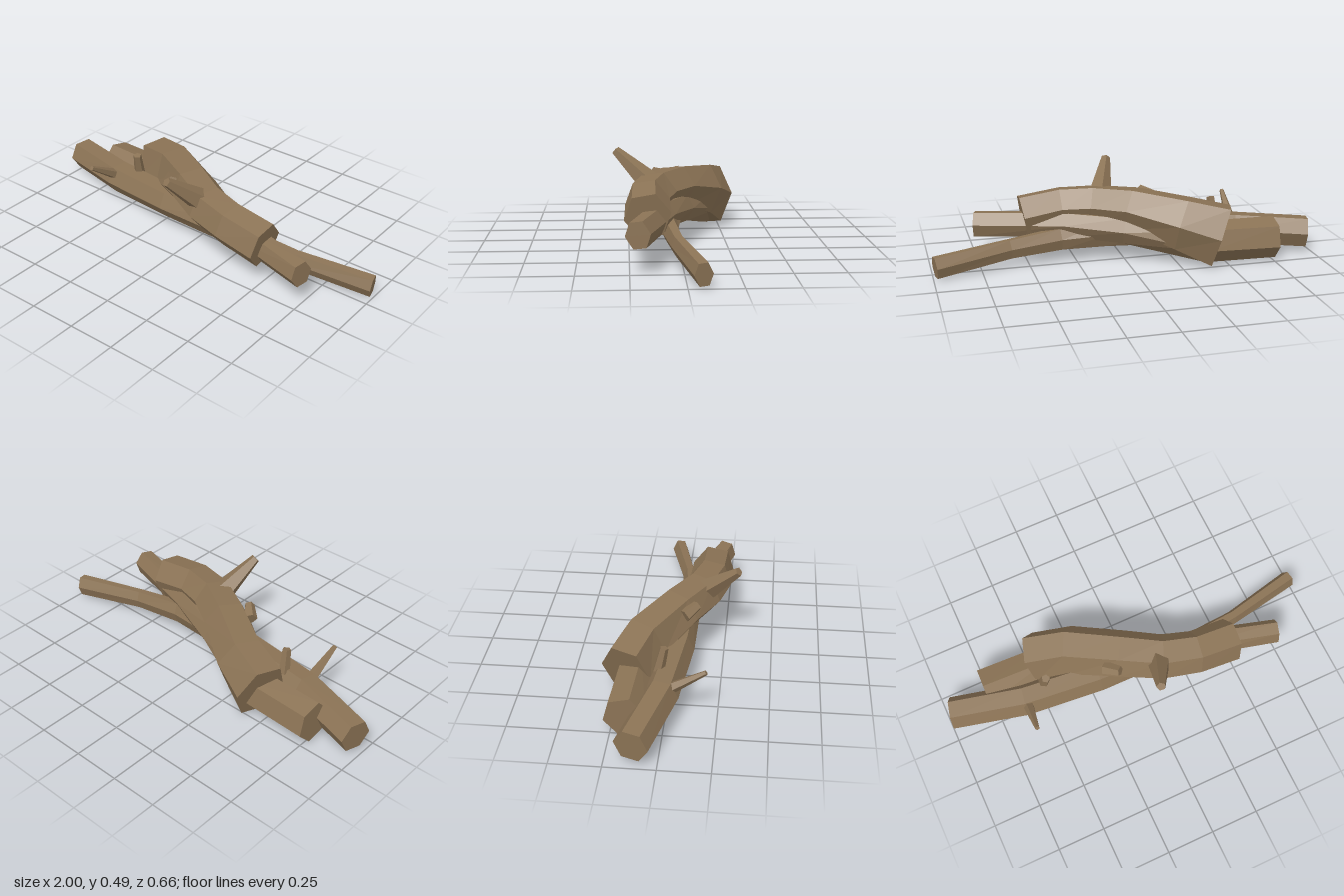
import * as THREE from 'three';

const bark = new THREE.MeshStandardMaterial({ color: 0x8b7355, flatShading: true, roughness: 1 });

// Faceted, capped limb through rings of [x, y, z, halfWidth, halfHeight, roll]
function limb(name, rings, sides = 6) {
  const centres = rings.map(r => new THREE.Vector3(r[0], r[1], r[2]));
  const last = rings.length - 1;
  const points = rings.map(([, , , w, h = w * 0.87, roll = 0], k) => {
    const t = centres[Math.min(k + 1, last)].clone().sub(centres[Math.max(k - 1, 0)]).normalize();
    const side = t.clone().cross(new THREE.Vector3(0, 1, 0)).normalize();
    const up = side.clone().cross(t);
    side.applyAxisAngle(t, roll);
    up.applyAxisAngle(t, roll);
    return Array.from({ length: sides }, (_, i) => {
      const a = (i / sides) * Math.PI * 2;
      return centres[k].clone()
        .addScaledVector(side, Math.cos(a) * w)
        .addScaledVector(up, Math.sin(a) * h / 0.866);
    });
  });
  const tris = [];
  for (let i = 0; i < sides; i++) {
    const j = (i + 1) % sides;
    for (let k = 0; k < last; k++) {
      const [a, b, c, d] = [points[k][i], points[k + 1][i], points[k + 1][j], points[k][j]];
      tris.push(a, b, c, a, c, d);
    }
    tris.push(centres[0], points[0][i], points[0][j]);
    tris.push(centres[last], points[last][j], points[last][i]);
  }
  const geometry = new THREE.BufferGeometry().setFromPoints(tris);
  geometry.computeVertexNormals();
  const mesh = new THREE.Mesh(geometry, bark);
  mesh.name = name;
  return mesh;
}

export function createModel() {
  const group = new THREE.Group();
  group.name = 'logPile';

  // Long thin log lying along the bottom
  group.add(limb('longLog', [
    [-0.975, 0.104, -0.12, 0.085, 0.075, 0.08],
    [-0.6, 0.125, -0.02, 0.086, 0.076, 0.08],
    [-0.2, 0.135, 0.025, 0.084, 0.073, 0.08],
    [0.1, 0.132, 0.045, 0.066, 0.066, 0.08],
    [0.33, 0.118, 0.05, 0.044, 0.056, 0.08],
    [0.6, 0.095, 0.018, 0.036, 0.048, 0.08],
    [0.99, 0.058, -0.07, 0.044, 0.053, 0.08],
  ]));

  // Middle log running diagonally beneath the thick one
  group.add(limb('middleLog', [
    [-0.77, 0.108, -0.176, 0.105, 0.095, -0.25],
    [-0.4, 0.108, -0.163, 0.104, 0.095, -0.22],
    [0, 0.165, -0.02, 0.075, 0.068, 0],
    [0.3, 0.185, 0.085, 0.07, 0.062, 0.1],
    [0.755, 0.182, 0.212, 0.062, 0.062, 0.15],
  ]));

  // Thick bent log resting on top
  group.add(limb('thickLog', [
    [-0.463, 0.15, -0.207, 0.133, 0.155, 0.1],
    [-0.28, 0.21, -0.14, 0.13, 0.131, 0.12],
    [-0.05, 0.264, 0.01, 0.123, 0.103, 0.12],
    [0.13, 0.264, 0.112, 0.117, 0.1, 0.14],
    [0.3, 0.254, 0.158, 0.112, 0.1, 0.16],
    [0.508, 0.218, 0.162, 0.114, 0.105, 0.18],
  ]));

  // Broken branch stubs, base to tip: [base, tip, base radius, tip radius]
  const stubs = {
    largeBranch: [[0.11, 0.28, 0.11], [0.02, 0.468, 0.315], 0.07, 0.024],
    topStub: [[-0.17, 0.305, 0.055], [-0.11, 0.335, 0.115], 0.036, 0.026],
    backStub: [[-0.478, 0.18, -0.045], [-0.467, 0.305, -0.018], 0.03, 0.022],
    thinTwig: [[-0.595, 0.16, 0.02], [-0.607, 0.272, 0.195], 0.03, 0.012],
    lowStub: [[0.2, 0.16, 0.05], [0.2, 0.145, 0.14], 0.035, 0.026],
  };
  for (const [name, [base, tip, r0, r1]] of Object.entries(stubs)) {
    group.add(limb(name, [[...base, r0], [...tip, r1]], 5));
  }
  return group;
}
